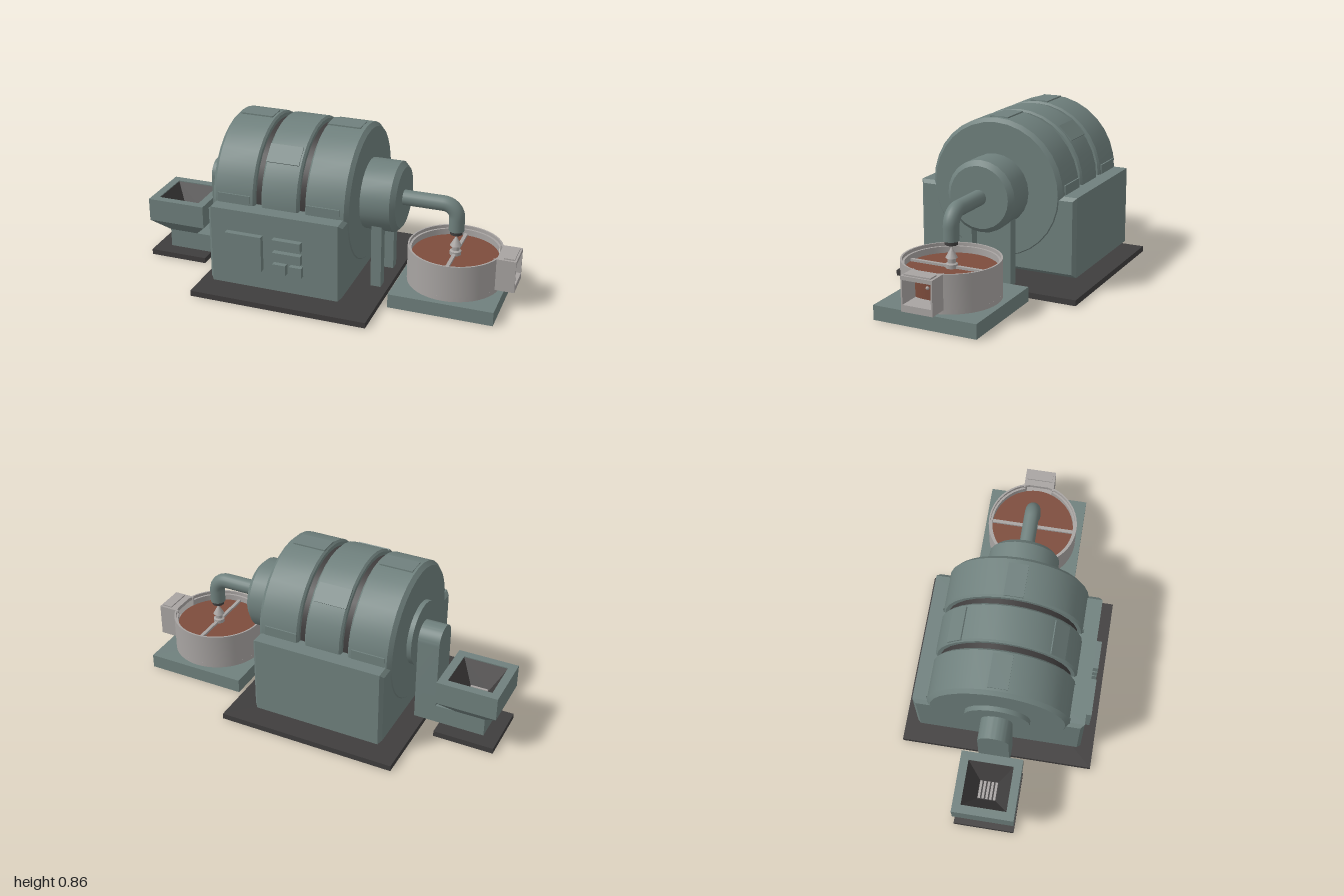
import * as THREE from 'three';
import { toCreasedNormals } from 'three/addons/utils/BufferGeometryUtils.js';

const mat = (name, color, side = THREE.FrontSide) => {
  const m = new THREE.MeshStandardMaterial({ color, side });
  m.name = name;
  return m;
};

export function createModel() {
  const root = new THREE.Group();
  root.name = 'roastingMachine';
  const green = mat('greyGreenPaint', 0x6f807d);
  const dark = mat('darkIron', 0x3f3d3d, THREE.DoubleSide);
  const steel = mat('paleSteel', 0xa8a4a2);
  const brown = mat('roastedBrown', 0x7d4c3c);

  const add = (name, geo, material, parent = root) => {
    const m = new THREE.Mesh(geo, material);
    m.name = name;
    parent.add(m);
    return m;
  };
  // Box given by its minimum and maximum on each axis
  const box = (name, material, x0, x1, y0, y1, z0, z1) => add(name,
    new THREE.BoxGeometry(x1 - x0, y1 - y0, z1 - z0)
      .translate((x0 + x1) / 2, (y0 + y1) / 2, (z0 + z1) / 2), material);
  // Turned part: profile of [radius, height] pairs
  const turned = (profile, segs, start = 0, length = Math.PI * 2) => toCreasedNormals(
    new THREE.LatheGeometry(profile.map(p => new THREE.Vector2(...p)), segs, start, length), 0.45);
  // Turned part lying along x on the drum axis
  const AXIS = 0.495;
  const turnedX = (name, profile, segs, material) =>
    add(name, turned(profile, segs).rotateZ(-Math.PI / 2).translate(0, AXIS, 0), material);

  // Floor plates
  box('mainBasePlate', dark, -0.595, 0.355, 0, 0.03, -0.51, 0.51);
  box('hopperBasePlate', dark, -1, -0.68, 0, 0.03, -0.16, 0.16);

  // Drum: three shells over a dark core that shows in the grooves
  const R = 0.365, c = 0.02;
  turnedX('drumShellLeft', [[0, -0.515], [R - c, -0.515], [R, -0.495], [R, -0.295], [R - 0.01, -0.285], [0, -0.285]], 32, green);
  turnedX('drumShellMiddle', [[0, -0.25], [R - 0.01, -0.25], [R, -0.24], [R, -0.06], [R - 0.01, -0.05], [0, -0.05]], 32, green);
  turnedX('drumShellRight', [[0, -0.015], [R - 0.01, -0.015], [R, -0.005], [R, 0.19], [R - c, 0.21], [0, 0.21]], 32, green);
  turnedX('drumGrooveCore', [[0, -0.3], [0.335, -0.3], [0.335, 0.01], [0, 0.01]], 32, dark);
  turnedX('drumFrontCollar', [[0, 0.2], [0.185, 0.2], [0.185, 0.365], [0.16, 0.39], [0, 0.39]], 24, green);
  turnedX('drumRearFlange', [[0, -0.54], [0.168, -0.54], [0.168, -0.5], [0, -0.5]], 24, green);

  // Access plates around the drum
  const plates = [[-0.395, 0], [-0.157, Math.PI / 4], [0.08, 0]];
  for (const [x, offset] of plates) {
    for (let i = 0; i < 4; i++) {
      const a = offset + i * Math.PI / 2;
      const g = new THREE.BoxGeometry(0.175, 0.009, 0.1).translate(0, R - 0.002, 0);
      add('drumAccessPlate', g.rotateX(a).translate(x, AXIS, 0), green);
    }
  }

  // Lower housing with bevelled ends
  const b = 0.018;
  const section = new THREE.Shape();
  section.moveTo(-0.44 + b, 0.08 + b);
  section.lineTo(0.44 - b, 0.08 + b);
  section.lineTo(0.44 - b, 0.495 - b);
  section.lineTo(-0.44 + b, 0.495 - b);
  section.closePath();
  add('lowerHousing', new THREE.ExtrudeGeometry(section, {
    depth: 0.715 - 2 * b, bevelEnabled: true, bevelSize: b, bevelThickness: b, bevelSegments: 1,
  }).rotateY(Math.PI / 2).translate(-0.51 + b, 0, 0), green);

  // Control panel on the front
  box('controlCabinet', green, -0.405, -0.21, 0.19, 0.38, 0.43, 0.47);
  box('controlDisplay', green, -0.15, 0, 0.33, 0.38, 0.43, 0.47);
  box('controlDisplay', green, -0.15, 0, 0.26, 0.31, 0.43, 0.47);
  box('controlButton', green, -0.15, -0.08, 0.19, 0.245, 0.43, 0.47);
  box('controlButton', green, -0.06, 0.005, 0.19, 0.245, 0.43, 0.47);

  // Collar legs
  for (const s of [-1, 1])
    box('collarLeg', green, 0.26, 0.315, -0.001, 0.4, s * 0.11 - 0.028, s * 0.11 + 0.028);

  // Feed riser with rounded top, and the duct from the hopper
  const arch = new THREE.Shape();
  arch.moveTo(-0.08, 0.03);
  arch.lineTo(0.08, 0.03);
  arch.lineTo(0.08, 0.485);
  arch.absarc(0, 0.485, 0.08, 0, Math.PI, false);
  arch.closePath();
  add('feedRiser', toCreasedNormals(new THREE.ExtrudeGeometry(arch, { depth: 0.115, bevelEnabled: false, curveSegments: 16 }), 0.45)
    .rotateY(Math.PI / 2).translate(-0.655, 0, 0), green);
  box('feedDuct', green, -0.92, -0.6, 0.03, 0.13, -0.08, 0.08);

  // Hopper: square rim, tapered underside, dark funnel and grate
  const HX = -0.84;
  const frustum = (top, bottom, y0, y1, open) => new THREE.CylinderGeometry(
    top * Math.SQRT2, bottom * Math.SQRT2, y1 - y0, 4, 1, open).toNonIndexed()
    .rotateY(Math.PI / 4).translate(HX, (y0 + y1) / 2, 0);
  const square = (Kind, h) => new Kind([[-h, -h], [h, -h], [h, h], [-h, h]].map(p => new THREE.Vector2(...p)));
  const rim = square(THREE.Shape, 0.16);
  rim.holes.push(square(THREE.Path, 0.117));
  add('hopperRim', new THREE.ExtrudeGeometry(rim, { depth: 0.125, bevelEnabled: false })
    .rotateX(-Math.PI / 2).translate(HX, 0.21, 0), green);
  const taper = frustum(0.16, 0.08, 0.13, 0.21, false);
  taper.computeVertexNormals();
  add('hopperTaper', taper, green);
  const funnel = frustum(0.117, 0.048, 0.215, 0.33, true);
  funnel.computeVertexNormals();
  add('hopperFunnel', funnel, dark);
  box('hopperFloor', dark, HX - 0.05, HX + 0.05, 0.211, 0.216, -0.05, 0.05);
  for (let i = -2; i <= 2; i++)
    box('hopperGrateBar', steel, HX - 0.046, HX + 0.046, 0.216, 0.224, i * 0.02 - 0.006, i * 0.02 + 0.006);

  // Discharge pipe with elbow and dark nozzle
  const pipe = new THREE.CurvePath();
  const v = (x, y) => new THREE.Vector3(x, y, 0);
  pipe.add(new THREE.LineCurve3(v(0.38, AXIS), v(0.6, AXIS)));
  pipe.add(new THREE.CubicBezierCurve3(v(0.6, AXIS), v(0.639, AXIS), v(0.67, 0.464), v(0.67, 0.425)));
  pipe.add(new THREE.LineCurve3(v(0.67, 0.425), v(0.67, 0.36)));
  add('dischargePipe', new THREE.TubeGeometry(pipe, 40, 0.04, 20), green);
  add('pipeEnd', new THREE.CylinderGeometry(0.04, 0.04, 0.01, 20).translate(0.67, 0.36, 0), green);
  add('pipeNozzle', new THREE.CylinderGeometry(0.032, 0.032, 0.025, 20).translate(0.67, 0.348, 0), dark);

  // Cooling tray on its plinth, with a gap in the wall for the chute
  const TX = 0.67;
  box('trayPlinth', green, 0.395, 0.94, 0, 0.075, -0.275, 0.275);
  const gap = 0.33;
  const wall = turned([[0.236, 0.08], [0.245, 0.08], [0.245, 0.27], [0.236, 0.27], [0.236, 0.253],
    [0.225, 0.253], [0.225, 0.08]], 48, Math.PI / 2 + gap, Math.PI * 2 - 2 * gap);
  add('trayWall', wall.translate(TX, 0, 0), steel);
  add('trayRimBridge', turned([[0.236, 0.25], [0.245, 0.25], [0.245, 0.27], [0.236, 0.27], [0.236, 0.25]],
    8, Math.PI / 2 - gap, 2 * gap).translate(TX, 0, 0), steel);
  add('trayFloor', new THREE.CylinderGeometry(0.245, 0.245, 0.025, 48).translate(TX, 0.0875, 0), steel);
  add('beanBed', new THREE.CylinderGeometry(0.226, 0.226, 0.12, 48).translate(TX, 0.16, 0), brown);

  // Stirrer
  box('stirrerBar', steel, TX - 0.009, TX + 0.009, 0.215, 0.232, -0.224, 0.224);
  add('stirrerHub', turned([[0.03, 0.215], [0.03, 0.24], [0.02, 0.245], [0.02, 0.268], [0.03, 0.27], [0, 0.325]], 16)
    .translate(TX, 0, 0), steel);

  // Outlet chute, open to the side
  box('chuteFloor', steel, 0.875, 1, 0.096, 0.13, -0.082, 0.082);
  box('chuteRoof', steel, 0.9, 1, 0.25, 0.27, -0.082, 0.082);
  box('chuteLid', steel, 0.935, 0.99, 0.27, 0.277, -0.07, 0.07);
  for (const s of [-1, 1])
    box('chuteSide', steel, 0.885, 1, 0.096, 0.27, s * 0.079 - 0.004, s * 0.079 + 0.004);
  add('chuteKnob', new THREE.SphereGeometry(0.009, 12, 8).translate(0.9, 0.19, 0), steel);

  return root;
}
